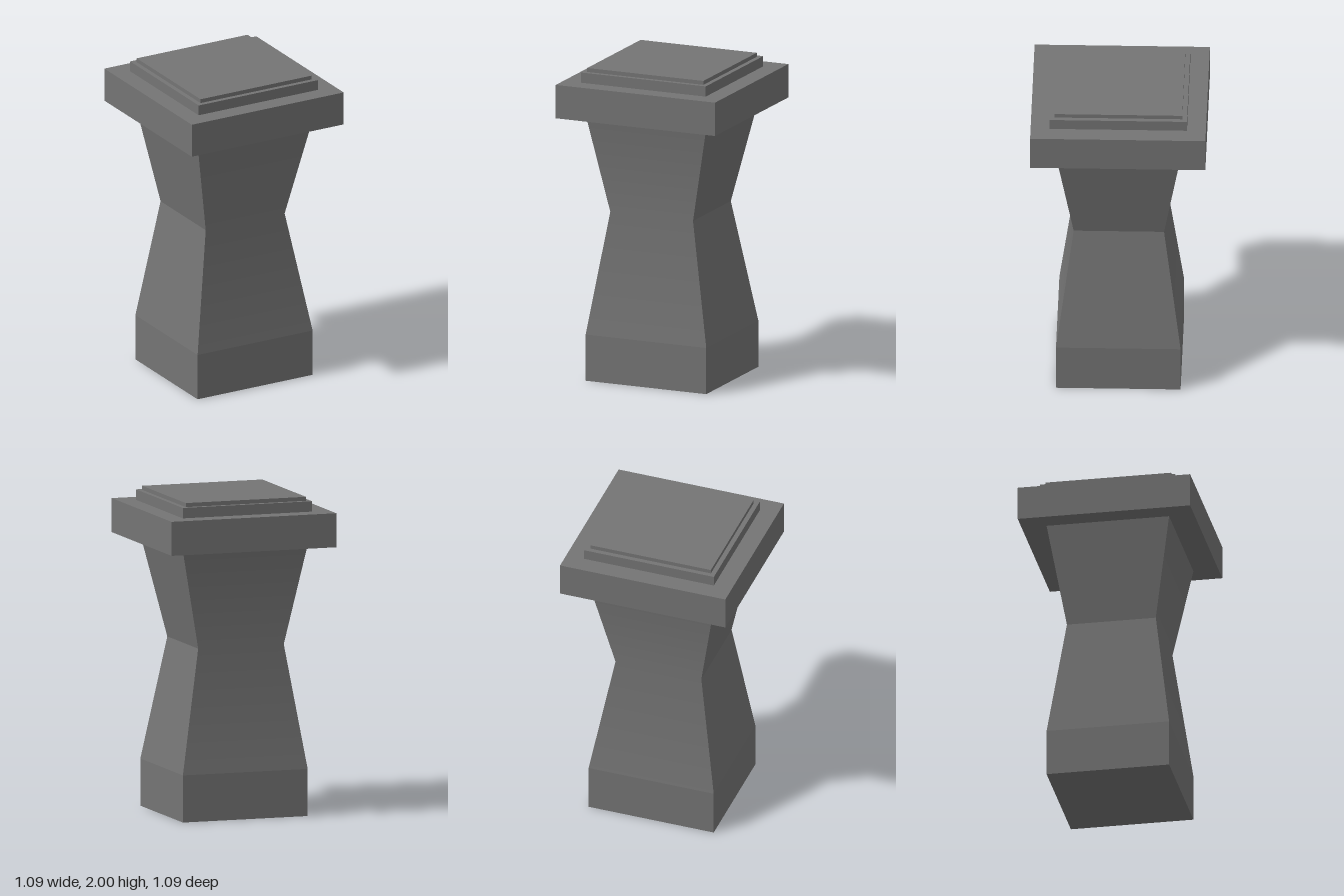
import * as THREE from 'three';

const grey = new THREE.MeshStandardMaterial({ color: 0x747474 });

// Square slab centred on the axis, given its half width and its bottom and top
function slab(name, half, bottom, top) {
  const mesh = new THREE.Mesh(new THREE.BoxGeometry(half * 2, top - bottom, half * 2), grey);
  mesh.position.y = (bottom + top) / 2;
  mesh.name = name;
  return mesh;
}

// Waisted shaft on a straight foot: a box whose four rings are moved to these sections
function shaft() {
  const rings = [
    { y: 0, left: 0.411, right: -0.411, z: 0.386 },
    { y: 0.295, left: 0.411, right: -0.411, z: 0.386 },
    { y: 1.067, left: 0.272, right: -0.292, z: 0.28 },
    { y: 1.697, left: 0.411, right: -0.411, z: 0.386 },
  ];
  const geometry = new THREE.BoxGeometry(2, 3, 2, 1, 3, 1).toNonIndexed();
  const p = geometry.attributes.position;
  const ringOf = [];
  for (let i = 0; i < p.count; i++) {
    ringOf[i] = Math.round(p.getY(i) + 1.5);
    const ring = rings[ringOf[i]];
    p.setXYZ(i, p.getX(i) > 0 ? ring.left : ring.right, ring.y, Math.sign(p.getZ(i)) * ring.z);
  }
  // Flat faces, except that front and back blend softly across the waist
  geometry.computeVertexNormals();
  const n = geometry.attributes.normal;
  for (let i = 0; i < n.count; i++) {
    if (ringOf[i] === 2 && Math.abs(n.getZ(i)) > 0.5) n.setXYZ(i, 0, 0, Math.sign(n.getZ(i)));
  }
  const mesh = new THREE.Mesh(geometry, grey);
  mesh.name = 'shaft';
  return mesh;
}

export function createModel() {
  const model = new THREE.Group();
  model.name = 'pedestal';
  model.add(
    shaft(),
    slab('capital', 0.543, 1.697, 1.91),
    slab('upperStep', 0.426, 1.91, 1.975),
    slab('topPlate', 0.396, 1.975, 2),
  );
  return model;
}
